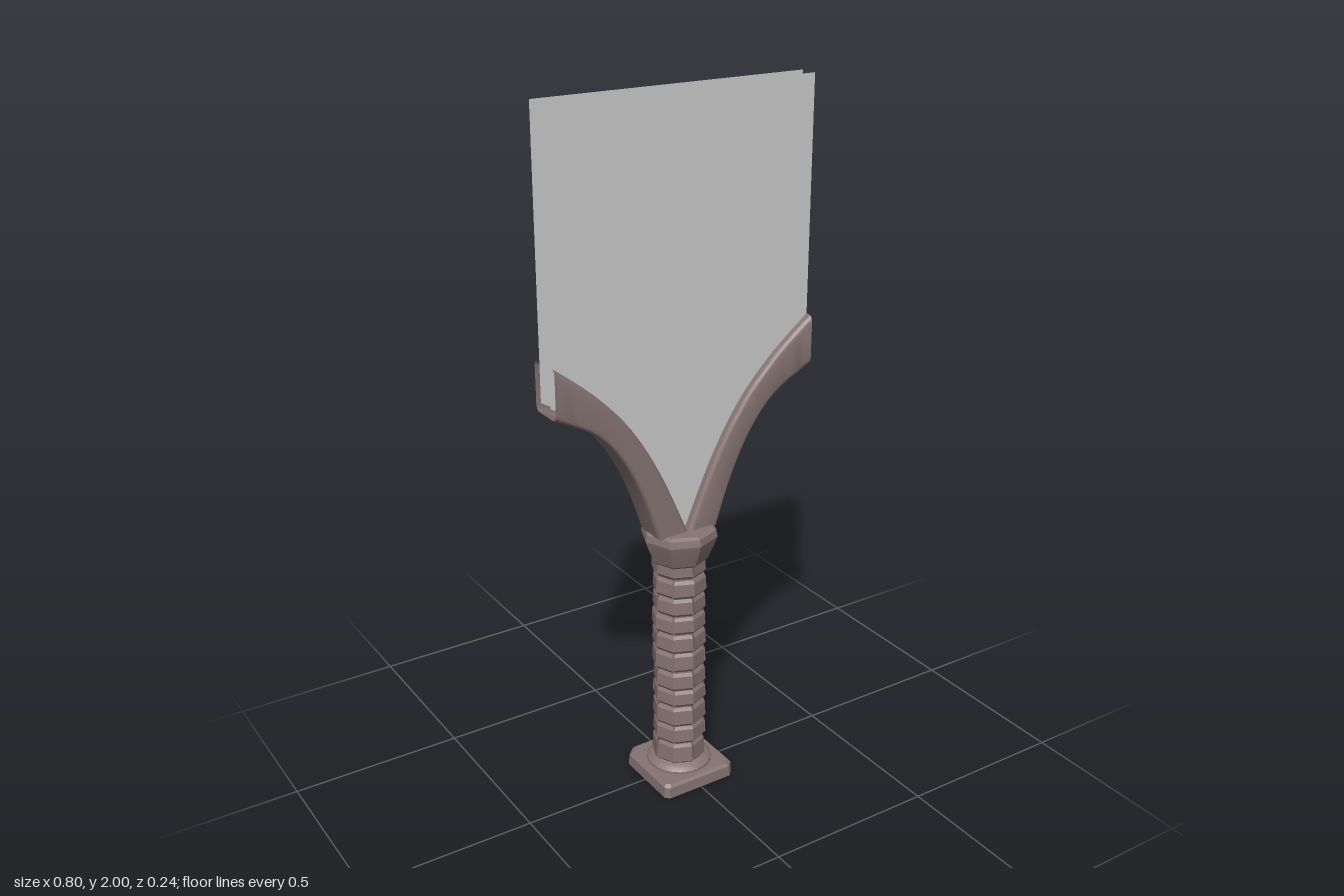
import * as THREE from 'three';
import { toCreasedNormals } from 'three/addons/utils/BufferGeometryUtils.js';

const stone = new THREE.MeshStandardMaterial({ color: 0x867471, side: THREE.DoubleSide });
const plain = new THREE.MeshStandardMaterial({ color: 0xcccccc, side: THREE.DoubleSide });

// Skins a list of equal-length rings (counter-clockwise seen from the last ring)
function loft(rings, { capStart = false, capEnd = false, crease = 0.4 } = {}) {
  const n = rings[0].length;
  const last = (rings.length - 1) * n;
  const index = [];
  for (let i = 0; i < rings.length - 1; i++) {
    for (let j = 0; j < n; j++) {
      const k = (j + 1) % n;
      const a = i * n + j, b = i * n + k, c = b + n, d = a + n;
      index.push(a, b, c, a, c, d);
    }
  }
  for (let j = 1; j < n - 1; j++) {
    if (capStart) index.push(0, j + 1, j);
    if (capEnd) index.push(last, last + j, last + j + 1);
  }
  const geo = new THREE.BufferGeometry().setFromPoints(rings.flat());
  geo.setIndex(index);
  return toCreasedNormals(geo, crease);
}

function mesh(name, geo, material = stone) {
  const m = new THREE.Mesh(geo, material);
  m.name = name;
  return m;
}

let seed = 7;
function rand() {
  seed = (seed * 16807) % 2147483647;
  return seed / 2147483647;
}

const polar = (r, a, y) => new THREE.Vector3(r * Math.cos(a), y, -r * Math.sin(a));
const octagon = (r, y) => Array.from({ length: 8 }, (_, i) => polar(r, (i * Math.PI) / 4, y));

// Square ring with cut corners, one cut deeper
function cutSquare(h, y) {
  const cuts = [0.018, 0.026, 0.012, 0.018];
  const pts = [];
  cuts.forEach((c, i) => {
    const corner = [new THREE.Vector3(h, y, -h + c), new THREE.Vector3(h - c, y, -h)];
    corner.forEach((p) => pts.push(p.applyAxisAngle(new THREE.Vector3(0, 1, 0), (i * Math.PI) / 2)));
  });
  return pts;
}

// One brick: a quarter of an octagonal course with worn upper and lower edges
function brick(start, y0, y1, r) {
  const gap = 0.035, bevel = 0.009;
  const edge = (Math.cos(Math.PI / 8) / Math.cos(Math.PI / 8 - gap));
  const ring = (radius, y) => [
    polar(0.03, start + Math.PI / 4, y),
    polar(radius * edge, start + gap, y),
    polar(radius, start + Math.PI / 4, y),
    polar(radius * edge, start + Math.PI / 2 - gap, y),
  ];
  return loft(
    [ring(r - 0.007, y0), ring(r, y0 + bevel), ring(r - 0.002, y1 - bevel), ring(r - 0.008, y1)],
    { capStart: true, capEnd: true, crease: 0.2 }
  );
}

// Upper and lower edges of a rib in the xy plane
const curve = (pts) => new THREE.SplineCurve(pts.map(([x, y]) => new THREE.Vector2(x, y)));
const upperEdge = curve([[0, 0.8], [0.085, 0.99], [0.175, 1.14], [0.28, 1.255], [0.4, 1.352]]);
const lowerEdge = curve([[0.095, 0.8], [0.14, 0.93], [0.2, 1.05], [0.28, 1.145], [0.4, 1.212]]);

// Hollow rib with a rounded rectangular section
function ribGeometry() {
  const section = [];
  const round = 0.27;
  [[1, 1], [-1, 1], [-1, -1], [1, -1]].forEach(([sx, sy], q) => {
    for (let i = 0; i <= 4; i++) {
      const a = (q + i / 4) * Math.PI / 2;
      section.push([sx * (1 - round) + round * Math.cos(a), sy * (1 - round) + round * Math.sin(a)]);
    }
  });
  const rings = [];
  for (let i = 0; i <= 20; i++) {
    const top = upperEdge.getPoint(i / 20), low = lowerEdge.getPoint(i / 20);
    rings.push(section.map(([s, t]) => {
      const p = top.clone().lerp(low, (s + 1) / 2);
      return new THREE.Vector3(p.x, p.y, -0.052 * t);
    }));
  }
  return loft(rings, { crease: 0.6 });
}

// Flat wall whose lower edge runs inside the ribs
function panelGeometry() {
  const side = [];
  for (let i = 0; i <= 20; i++) {
    side.push(upperEdge.getPoint(i / 20).lerp(lowerEdge.getPoint(i / 20), 0.8));
  }
  const left = side.map((p) => new THREE.Vector2(-p.x, p.y)).reverse();
  return new THREE.ShapeGeometry(new THREE.Shape([
    ...left, ...side, new THREE.Vector2(0.4, 2), new THREE.Vector2(-0.4, 2),
  ]));
}

export function createModel() {
  const model = new THREE.Group();
  model.name = 'archedWallColumn';

  // Plinth, hollow underneath
  model.add(mesh('plinth', loft(
    [cutSquare(0.098, 0.025), cutSquare(0.1, 0), cutSquare(0.119, 0), cutSquare(0.117, 0.032), cutSquare(0.11, 0.04)],
    { capStart: true, capEnd: true }
  )));

  // Round collar on the plinth
  const collar = [[0.095, 0.038], [0.095, 0.046], [0.088, 0.054], [0.078, 0.058], [0.07, 0.062]];
  model.add(mesh('collar', toCreasedNormals(
    new THREE.LatheGeometry(collar.map(([r, y]) => new THREE.Vector2(r, y)), 24), 0.5)));

  // Shaft: core and staggered brick courses
  model.add(mesh('shaftCore', loft([octagon(0.067, 0.04), octagon(0.067, 0.72)])));
  const bricks = new THREE.Group();
  bricks.name = 'brickCourses';
  const levels = [0.055, 0.125, 0.185, 0.25, 0.305, 0.365, 0.428, 0.488, 0.545, 0.603, 0.662, 0.712];
  for (let c = 0; c < levels.length - 1; c++) {
    for (let q = 0; q < 4; q++) {
      const start = q * Math.PI / 2 + (c % 2) * Math.PI / 4;
      const r = 0.075 + 0.006 * rand();
      bricks.add(mesh('brick', brick(start, levels[c] + 0.002, levels[c + 1] - 0.002, r)));
    }
  }
  model.add(bricks);

  // Flared octagonal capital
  model.add(mesh('capital', loft(
    [[0.076, 0.702], [0.082, 0.708], [0.105, 0.765], [0.109, 0.778], [0.105, 0.798], [0.094, 0.804]]
      .map(([r, y]) => octagon(r, y)),
    { capStart: true, capEnd: true, crease: 0.3 }
  )));

  // Mirrored ribs
  const rib = ribGeometry();
  ['leftRib', 'rightRib'].forEach((name, i) => {
    const m = mesh(name, rib);
    m.rotation.y = i * Math.PI;
    model.add(m);
  });

  // Front and back wall panels
  const panel = panelGeometry();
  ['frontPanel', 'backPanel'].forEach((name, i) => {
    const m = mesh(name, panel, plain);
    m.rotation.y = i * Math.PI;
    m.position.z = i ? -0.026 : 0.026;
    model.add(m);
  });

  return model;
}
